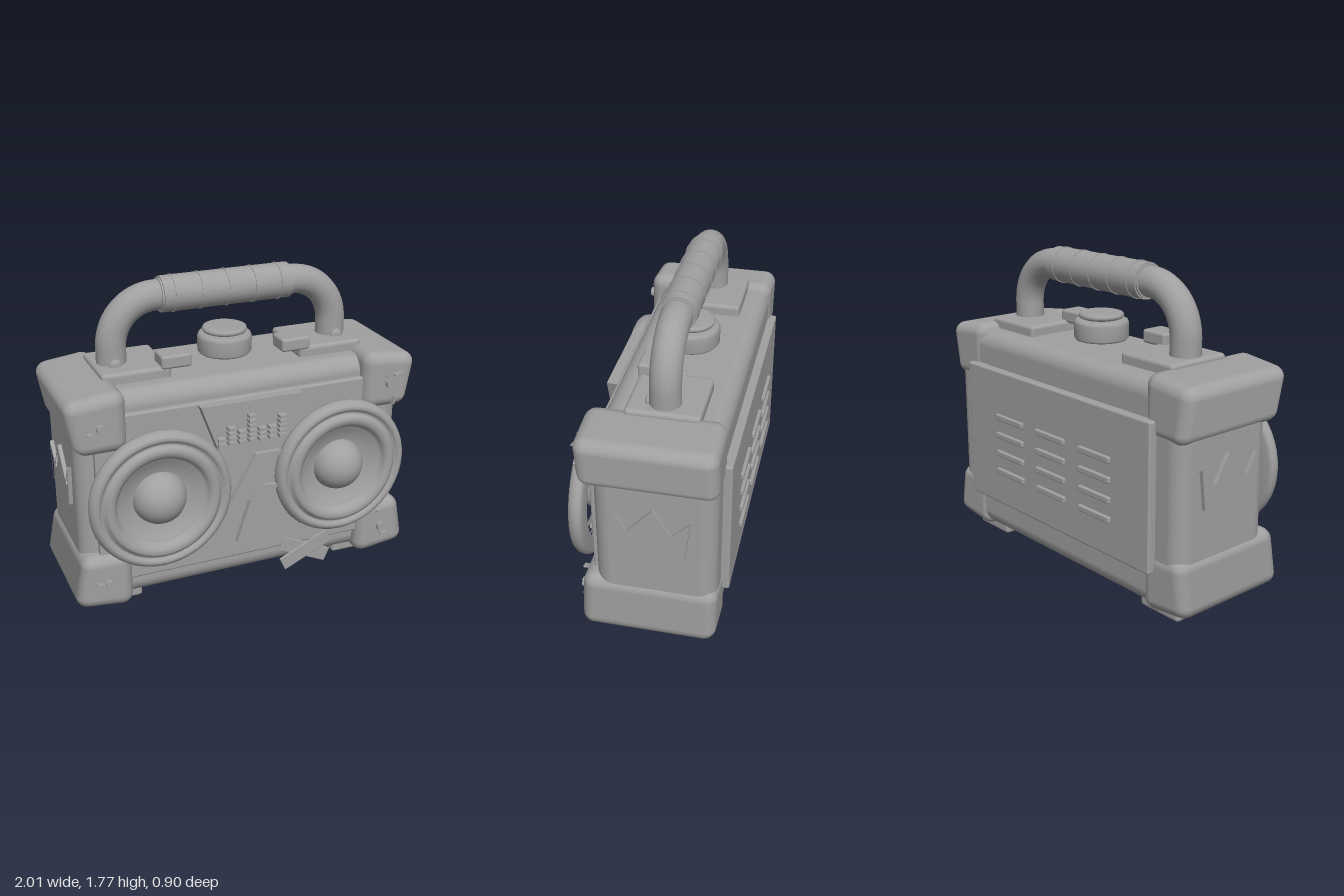
import * as THREE from 'three';
import { RoundedBoxGeometry } from 'three/addons/geometries/RoundedBoxGeometry.js';

export function createModel() {
  const model = new THREE.Group();
  model.name = 'portableStereo';
  const grey = new THREE.MeshStandardMaterial({ color: 0xa0a0a0 });
  grey.name = 'plain grey';

  const add = (name, geometry, x = 0, y = 0, z = 0, parent = model) => {
    const mesh = new THREE.Mesh(geometry, grey);
    mesh.name = name;
    mesh.position.set(x, y, z);
    parent.add(mesh);
    return mesh;
  };
  // rounded block given by its limits on each axis
  const block = (name, [x0, x1], [y0, y1], [z0, z1], r) =>
    add(name, new RoundedBoxGeometry(x1 - x0, y1 - y0, z1 - z0, 3, r),
      (x0 + x1) / 2, (y0 + y1) / 2, (z0 + z1) / 2);
  const span = (side, a, b) => (side > 0 ? [a, b] : [-b, -a]);
  const shapeOf = (points) => new THREE.Shape(points.map(([x, y]) => new THREE.Vector2(x, y)));
  const plate = (points, depth, hole) => {
    const shape = shapeOf(points);
    if (hole) shape.holes.push(shapeOf(hole));
    return new THREE.ExtrudeGeometry(shape, { depth, bevelEnabled: false });
  };
  // offsets a closed clockwise outline inwards by t
  const inset = (points, t) => points.map((p, i) => {
    const n = points.length;
    const a = new THREE.Vector2(...points[(i + n - 1) % n]);
    const b = new THREE.Vector2(...p);
    const c = new THREE.Vector2(...points[(i + 1) % n]);
    const d1 = b.clone().sub(a).normalize(), d2 = c.sub(b).normalize();
    const n1 = new THREE.Vector2(d1.y, -d1.x), n2 = new THREE.Vector2(d2.y, -d2.x);
    const k = t / (1 + n1.dot(n2));
    return [b.x + (n1.x + n2.x) * k, b.y + (n1.y + n2.y) * k];
  });

  // case, front panel and back panel
  block('body', [-0.95, 0.95], [0.06, 1.27], [-0.39, 0.25], 0.09);
  block('frontPanel', [-0.86, 0.86], [0.19, 1.165], [0.2, 0.28], 0.012);
  block('backPanel', [-0.78, 0.78], [0.27, 1.08], [-0.435, -0.36], 0.012);
  for (const x of [-0.37, 0, 0.37])
    for (const y of [0.48, 0.59, 0.7, 0.81])
      block('vent', [x - 0.125, x + 0.125], [y - 0.018, y + 0.018], [-0.453, -0.43], 0.008);

  // corner guards, flared away from the middle of the case
  for (const sx of [-1, 1]) {
    for (const sy of [-1, 1]) {
      const geo = new RoundedBoxGeometry(0.3, 0.32, 0.72, 5, 0.065);
      const p = geo.attributes.position;
      for (let i = 0; i < p.count; i++) {
        const u = (p.getX(i) * sx) / 0.15, v = (p.getY(i) * sy) / 0.16;
        p.setX(i, p.getX(i) + sx * 0.014 * (u + 1) * v);
        p.setY(i, p.getY(i) - sy * 0.01 * u * (v + 1));
      }
      add('cornerGuard', geo, sx * 0.835, 0.675 + sy * 0.457, -0.038);
      const screw = add('cornerScrew', new THREE.CylinderGeometry(0.027, 0.027, 0.025, 16),
        sx * 0.83, 0.675 + sy * 0.455, 0.342);
      screw.rotation.x = Math.PI / 2;
    }
    block('foot', span(sx, 0.6, 0.88), [0, 0.09], [-0.32, 0.18], 0.02);
  }

  // scratches: x, y, length, angle
  const scratches = [
    [0.88, 1.18, 0.05, 0.3], [0.81, 1.17, 0.05, -0.7], [0.83, 1.08, 0.04, 0.9],
    [0.87, 1.07, 0.04, -0.5], [0.86, 1.02, 0.04, 1.3], [0.82, 0.33, 0.04, 0.3],
    [0.86, 0.26, 0.03, 0.8], [0.82, 0.19, 0.04, -0.4], [0.85, 0.17, 0.04, 0.1],
    [-0.88, 1.09, 0.04, 0.9], [-0.89, 1.11, 0.03, 0.2], [-0.88, 0.23, 0.05, -0.3], [-0.9, 0.21, 0.03, 0.9],
  ];
  for (const [x, y, len, angle] of scratches)
    add('scratch', new THREE.BoxGeometry(len, 0.008, 0.03), x, y, 0.332).rotation.z = angle;

  // speakers: rolled rim, surround, cone and dust cap
  const rim = [
    [0.3, 0.31], [0.375, 0.31], [0.393, 0.325], [0.397, 0.345], [0.39, 0.37], [0.375, 0.388],
    [0.358, 0.393], [0.345, 0.385], [0.338, 0.375], [0.325, 0.375], [0.318, 0.395], [0.3, 0.405],
    [0.275, 0.4], [0.258, 0.385], [0.253, 0.365], [0.238, 0.365], [0.228, 0.355], [0.14, 0.315], [0.001, 0.315],
  ].map(([r, z]) => new THREE.Vector2(r, z));
  for (const x of [-0.53, 0.53]) {
    const speaker = new THREE.Group();
    speaker.name = 'speaker';
    speaker.position.set(x, 0.68, 0);
    speaker.rotation.x = Math.PI / 2;
    model.add(speaker);
    add('speakerRing', new THREE.LatheGeometry(rim, 48), 0, 0, 0, speaker);
    add('speakerDome', new THREE.SphereGeometry(0.15, 32, 20), 0, 0.3, 0, speaker);
  }

  // display with level bars
  const display = [[-0.295, 1.16], [0.29, 1.16], [0.197, 0.895], [-0.197, 0.895]];
  add('displayPlate', plate(display, 0.035), 0, 0, 0.275);
  add('displayFrame', plate(display, 0.025, inset(display, 0.022)), 0, 0, 0.31);
  [2, 4, 3, 6, 3, 3, 5].forEach((count, i) => {
    for (let j = 0; j < count; j++)
      add('levelBar', new THREE.BoxGeometry(0.043, 0.018, 0.04),
        -0.18 + i * 0.059, 0.93 + j * 0.0275, 0.33);
  });

  // lightning bolt with a raised border
  const bolt = [[0.01, 0.85], [0.16, 0.85], [0.055, 0.655], [0.15, 0.645],
    [-0.1, 0.33], [-0.02, 0.58], [-0.14, 0.58]];
  add('boltPlate', plate(bolt, 0.015), 0, 0, 0.33);
  add('boltBorder', plate(bolt, 0.015, inset(bolt, 0.016)), 0, 0, 0.345);

  // crossed sticking plasters
  for (const s of [-1, 1])
    add('plasterStrip', new RoundedBoxGeometry(0.31, 0.085, 0.012, 2, 0.005),
      0.29, 0.23, 0.42 + s * 0.004).rotation.z = s * 0.43;

  // crown badges on both sides (x runs along the case depth)
  const crown = [[-0.13, 0.855], [-0.065, 0.745], [0.07, 0.897], [0.165, 0.745],
    [0.26, 0.84], [0.235, 0.625], [-0.115, 0.625]];
  for (const s of [-1, 1]) {
    const outline = s > 0 ? crown : crown.map(([x, y]) => [-x, y]).reverse();
    const badge = new THREE.Group();
    badge.name = 'crownBadge';
    badge.rotation.y = (s * Math.PI) / 2;
    model.add(badge);
    add('crownPlate', plate(outline, 0.015), 0, 0, 0.945, badge);
    add('crownBorder', plate(outline, 0.025, inset(outline, 0.013)), 0, 0, 0.947, badge);
  }

  // handle mounts, buttons and knob
  for (const s of [-1, 1]) {
    block('handleMount', span(s, 0.375, 0.757), [1.25, 1.33], [-0.265, 0.12], 0.022);
    block('button', span(s, 0.263, 0.432), [1.315, 1.39], [-0.01, 0.128], 0.016);
    add('mountBolt', new THREE.SphereGeometry(0.035, 16, 10), s * 0.65, 1.335, 0.015).scale.z = 0.4;
  }
  const lathe = (name, points, y) => add(name,
    new THREE.LatheGeometry(points.map(([r, h]) => new THREE.Vector2(r, h)), 32), 0, y, -0.07);
  lathe('knobBase', [[0.001, 0], [0.14, 0], [0.15, 0.012], [0.152, 0.09], [0.145, 0.107], [0.13, 0.115], [0.001, 0.115]], 1.3);
  lathe('knobCap', [[0.1, 0], [0.12, 0.008], [0.125, 0.02], [0.12, 0.032], [0.105, 0.037], [0.001, 0.037]], 1.414);

  // carrying handle
  const path = new THREE.CurvePath();
  const v = (x, y) => new THREE.Vector3(x, y, -0.07);
  const k = 0.145;
  path.add(new THREE.LineCurve3(v(-0.65, 1.3), v(-0.65, 1.41)));
  path.add(new THREE.CubicBezierCurve3(v(-0.65, 1.41), v(-0.65, 1.41 + k), v(-0.395 - k, 1.668), v(-0.395, 1.668)));
  path.add(new THREE.LineCurve3(v(-0.395, 1.668), v(0.395, 1.668)));
  path.add(new THREE.CubicBezierCurve3(v(0.395, 1.668), v(0.395 + k, 1.668), v(0.65, 1.41 + k), v(0.65, 1.41)));
  path.add(new THREE.LineCurve3(v(0.65, 1.41), v(0.65, 1.3)));
  add('handleTube', new THREE.TubeGeometry(path, 80, 0.082, 16, false));

  // grip sleeve with seam rings
  const sleeve = (name, r, x0, x1) => {
    const mesh = add(name, new THREE.CylinderGeometry(r, r, x1 - x0, 24), (x0 + x1) / 2, 1.668, -0.07);
    mesh.rotation.z = Math.PI / 2;
  };
  sleeve('gripCore', 0.09, -0.38, 0.38);
  sleeve('gripSleeve', 0.098, -0.37, 0.37);
  for (const x of [-0.305, -0.153, 0, 0.153, 0.305]) sleeve('gripSeam', 0.102, x - 0.005, x + 0.005);

  return model;
}
